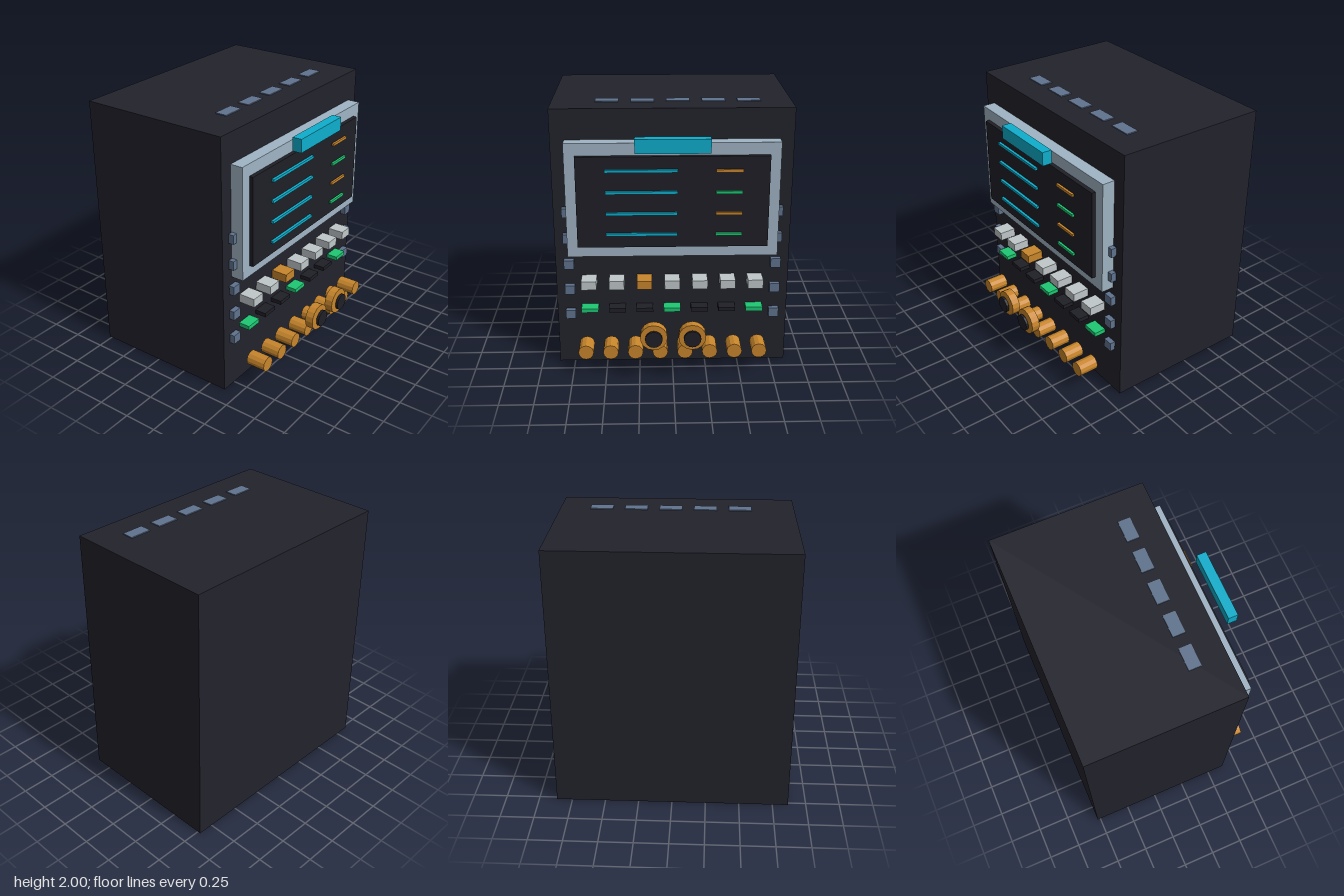
import * as THREE from 'three';

const paint = (name, color) => {
  const m = new THREE.MeshStandardMaterial({ color });
  m.name = name;
  return m;
};

export function createModel() {
  const group = new THREE.Group();
  const charcoal = paint('charcoal', 0x22222c);
  const black = paint('screen black', 0x1f1f27);
  const steel = paint('pale steel', 0xa0b4c4);
  const slate = paint('slate', 0x60738e);
  const cyan = paint('cyan', 0x0eaecc);
  const amber = paint('amber', 0xc8862c);
  const green = paint('green', 0x1ec873);
  const silver = paint('silver', 0xc0c8ca);

  const add = (name, geometry, material, x, y, z) => {
    const mesh = new THREE.Mesh(geometry, material);
    mesh.name = name;
    mesh.position.set(x, y, z);
    group.add(mesh);
  };
  // box given by its ranges along each axis
  const box = (name, mat, x0, x1, y0, y1, z0, z1) =>
    add(name, new THREE.BoxGeometry(x1 - x0, y1 - y0, z1 - z0), mat,
      (x0 + x1) / 2, (y0 + y1) / 2, (z0 + z1) / 2);
  // faceted disc facing the front
  const disc = (name, mat, x, y, r, z0, z1, sides) => {
    const g = new THREE.CylinderGeometry(r, r, z1 - z0, sides).rotateX(Math.PI / 2).toNonIndexed();
    g.computeVertexNormals();
    add(name, g, mat, x, y, (z0 + z1) / 2);
  };

  // cabinet and roof vents
  box('cabinet', charcoal, -0.866, 0.866, 0, 1.993, -0.773, 0.385);
  for (let i = 0; i < 5; i++) {
    const x = -0.467 + i * 0.256;
    box('roofVent', slate, x - 0.084, x + 0.084, 1.991, 2, 0.1, 0.192);
  }

  // display with its frame, header tab and readout lines
  box('screenFrame', steel, -0.765, 0.765, 0.915, 1.77, 0.383, 0.48);
  box('screen', black, -0.687, 0.687, 1.0, 1.68, 0.479, 0.511);
  box('headerTab', cyan, -0.265, 0.262, 1.73, 1.832, 0.54, 0.613);
  [1.58, 1.421, 1.262, 1.104].forEach((y, i) => {
    box('longReadout', cyan, -0.478, 0.034, y - 0.01, y + 0.01, 0.515, 0.535);
    box('shortReadout', i % 2 ? green : amber, 0.305, 0.495, y - 0.01, y + 0.01, 0.52, 0.538);
  });

  // side clips
  for (let i = 0; i < 5; i++) {
    const y = 1.235 - i * 0.204;
    for (const s of [-1, 1]) {
      const x = s * 0.765;
      box('sideClip', slate, x - 0.037, x + 0.037, y - 0.035, y + 0.035, 0.39, 0.43);
    }
  }

  // key row with indicator lamps below
  for (let i = 0; i < 7; i++) {
    const x = -0.618 + i * 0.205;
    box('key', i === 2 ? amber : silver, x - 0.056, x + 0.056, 0.66, 0.727, 0.383, 0.512);
    box('lamp', i % 3 ? black : green, x - 0.063, x + 0.063, 0.455, 0.487, 0.383, 0.473);
  }

  // row of small knobs
  for (let i = 0; i < 8; i++) {
    disc('smallKnob', amber, -0.647 + i * 0.184, 0.197, 0.057, 0.468, 0.618, 12);
  }

  // two large dials with dark caps
  for (const x of [-0.143, 0.137]) {
    disc('dial', amber, x, 0.38, 0.1, 0.675, 0.738, 16);
    disc('dialCap', black, x, 0.38, 0.063, 0.75, 0.769, 16);
  }
  return group;
}
